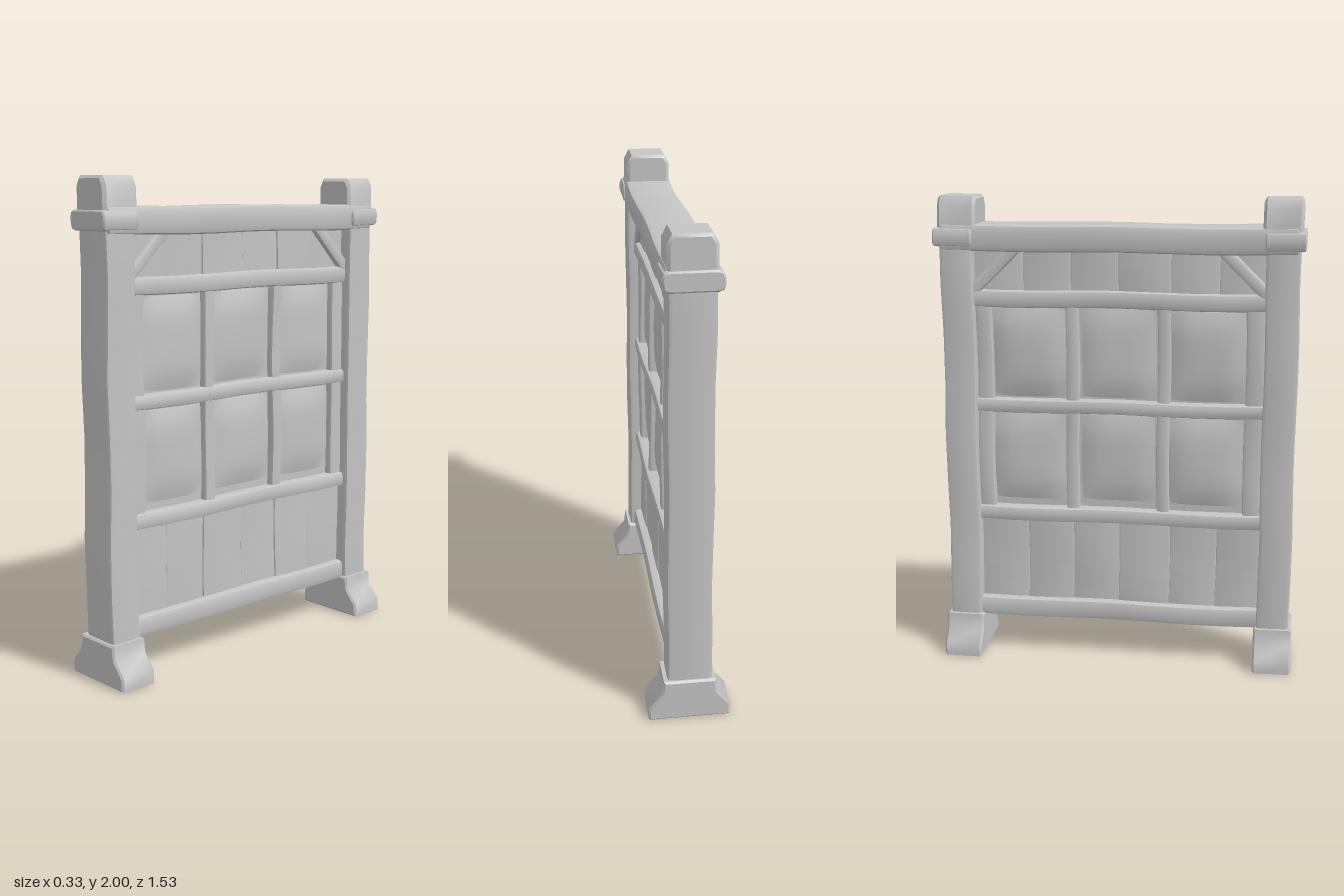
import * as THREE from 'three';
import { toCreasedNormals } from 'three/addons/utils/BufferGeometryUtils.js';

const wood = new THREE.MeshStandardMaterial({ color: 0xc4c4c4 });
wood.name = 'greyWood';

// Slight hand-hewn unevenness, driven by position so seams stay closed
function weather(geometry, amount) {
  const p = geometry.attributes.position;
  for (let i = 0; i < p.count; i++) {
    const x = p.getX(i), y = p.getY(i), z = p.getZ(i);
    p.setXYZ(i,
      x + amount * Math.sin(y * 9 + z * 7 + 1),
      y + amount * Math.sin(z * 8 + x * 5 + 2),
      z + amount * Math.sin(y * 8 + x * 6 + 4));
  }
  return toCreasedNormals(geometry, 0.75);
}

// Extrude an outline along z, centred, with worn bevelled ends
function extrude(shape, length, bevel, steps = 1) {
  const g = new THREE.ExtrudeGeometry(shape, {
    depth: length - 2 * bevel, steps, curveSegments: 2,
    bevelEnabled: true, bevelThickness: bevel, bevelSize: bevel, bevelOffset: -bevel, bevelSegments: 1
  });
  return g.translate(0, 0, -length / 2 + bevel);
}

function roundedRect(w, h, r) {
  const s = new THREE.Shape(), a = w / 2, b = h / 2;
  s.moveTo(-a + r, -b);
  s.lineTo(a - r, -b); s.quadraticCurveTo(a, -b, a, -b + r);
  s.lineTo(a, b - r); s.quadraticCurveTo(a, b, a - r, b);
  s.lineTo(-a + r, b); s.quadraticCurveTo(-a, b, -a, b - r);
  s.lineTo(-a, -b + r); s.quadraticCurveTo(-a, -b, -a + r, -b);
  return s;
}

export function createModel() {
  const model = new THREE.Group();
  model.name = 'woodenScreen';

  function add(name, geometry, wear = 0.003) {
    const mesh = new THREE.Mesh(weather(geometry, wear), wood);
    mesh.name = name;
    model.add(mesh);
    return mesh;
  }
  // Horizontal timber from z0 to z1, of half depth d
  function rail(name, d, y0, y1, z0, z1, r = 0.02) {
    const g = extrude(roundedRect(2 * d, y1 - y0, r), z1 - z0, 0.006, 8);
    return add(name, g.translate(0, (y0 + y1) / 2, (z0 + z1) / 2));
  }
  // Upright timber from y0 to y1, of half depth d
  function upright(name, d, y0, y1, z0, z1, r = 0.015) {
    const g = extrude(roundedRect(2 * d, z1 - z0, r), y1 - y0, 0.005, 8).rotateX(-Math.PI / 2);
    return add(name, g.translate(0, (y0 + y1) / 2, (z0 + z1) / 2));
  }

  // Flared foot outline, drawn across the thickness of the screen
  const foot = new THREE.Shape([
    [-0.165, 0], [0.165, 0], [0.165, 0.055], [0.112, 0.115], [0.105, 0.175],
    [-0.105, 0.175], [-0.112, 0.115], [-0.165, 0.055]
  ].map(([x, y]) => new THREE.Vector2(x, y)));

  for (const s of [-1, 1]) {
    const side = s > 0 ? 'front' : 'back';
    const span = (a, b) => (s > 0 ? [a, b] : [-b, -a]);
    upright(side + 'Post', 0.09, 0.14, 1.86, ...span(0.605, 0.743), 0.018);
    rail(side + 'Collar', 0.112, 1.79, 1.868, ...span(0.6, 0.763), 0.025);

    // Blunt post cap with a tapered crown
    const cap = new THREE.Shape([
      [-0.094, 1.82], [0.094, 1.82], [0.092, 1.96], [0.072, 1.998], [-0.072, 1.998], [-0.092, 1.96]
    ].map(([x, y]) => new THREE.Vector2(x, y)));
    add(side + 'Cap', extrude(cap, 0.16, 0.012).translate(0, 0, s * 0.668), 0.002);
    add(side + 'Foot', extrude(foot, 0.164, 0.008).translate(0, 0, s * 0.675), 0.001);
  }

  // Crossing timbers
  rail('topBeam', 0.1, 1.775, 1.885, -0.735, 0.735, 0.022);
  rail('upperRail', 0.062, 1.54, 1.612, -0.62, 0.62);
  rail('middleRail', 0.062, 1.088, 1.148, -0.62, 0.62);
  rail('lowerRail', 0.065, 0.605, 0.67, -0.62, 0.62);
  rail('bottomRail', 0.072, 0.163, 0.248, -0.62, 0.62);

  // Window stiles
  for (const [a, b] of [[0.53, 0.61], [0.163, 0.217], [-0.225, -0.17], [-0.61, -0.54]])
    upright('windowStile', 0.048, 0.65, 1.56, a, b);

  // Backing behind the window grid
  add('windowBacking', new THREE.BoxGeometry(0.03, 0.95, 1.22).translate(0, 1.105, 0), 0);

  // Padded panes, domed on both faces
  function pane(y, z, w, h) {
    const g = new THREE.BoxGeometry(0.05, h, w, 1, 8, 8);
    const p = g.attributes.position;
    for (let i = 0; i < p.count; i++) {
      const u = 2 * p.getY(i) / h, v = 2 * p.getZ(i) / w;
      const dome = (1 - u ** 4) * (1 - v ** 4);
      p.setX(i, Math.sign(p.getX(i)) * (0.018 + 0.02 * dome));
      p.setY(i, p.getY(i) * (1 - 0.03 * v ** 4));
      p.setZ(i, p.getZ(i) * (1 - 0.03 * u ** 4));
    }
    add('windowPane', g.translate(0, y, z));
  }
  for (const y of [1.345, 0.89])
    for (const z of [0.372, -0.003, -0.382]) pane(y, z, 0.315, 0.38);

  // Plank boarding under the window and in the header
  const edges = [-0.62, -0.4, -0.2, 0, 0.22, 0.42, 0.62];
  for (let i = 0; i < 6; i++) {
    const d = 0.034 + 0.004 * (i % 2);
    upright('lowerPlank', d, 0.22, 0.63, edges[i], edges[i + 1], 0.008);
    upright('headerPlank', d, 1.58, 1.8, edges[i], edges[i + 1], 0.008);
  }

  // Diagonal corner braces below the top beam
  for (const s of [-1, 1]) {
    const g = extrude(roundedRect(0.12, 0.05, 0.012), 0.29, 0.005, 3);
    g.rotateX(s * Math.PI / 4).translate(0, 1.69, s * 0.53);
    add(s > 0 ? 'frontBrace' : 'backBrace', g, 0.002);
  }
  return model;
}
